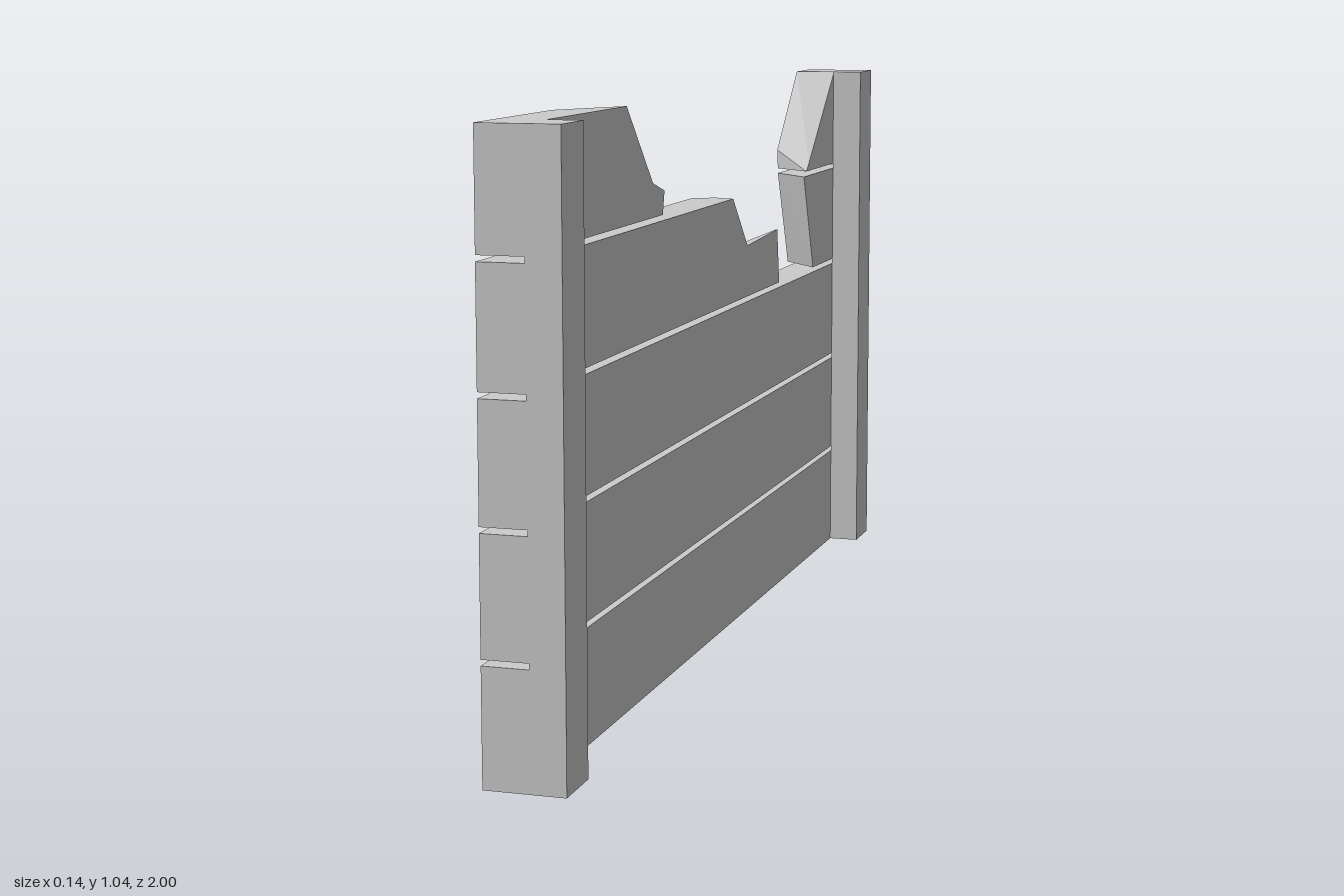
import * as THREE from 'three';

const BACK = -0.07, FACE = 0.01, FRONT = 0.07;

// Joins cross-sections, ordered from back (-x) to front (+x).
// Each section lists [z, y] or [z, y, x] corners; x defaults to the section's own.
function loft(sections, xs) {
  const rings = sections.map((s, k) => s.map(([z, y, x = xs[k]]) => new THREE.Vector3(x, y, z)));
  const last = rings[rings.length - 1];
  const n = last.length;
  let area = 0;
  last.forEach((p, i) => {
    const q = last[(i + 1) % n];
    area += p.y * q.z - q.y * p.z;
  });
  if (area < 0) rings.forEach((r) => r.reverse());
  const tris = [];
  for (let k = 0; k < rings.length - 1; k++) {
    for (let i = 0; i < n; i++) {
      const j = (i + 1) % n;
      const a = rings[k][i], b = rings[k][j], c = rings[k + 1][j], d = rings[k + 1][i];
      tris.push(a, b, c, a, c, d);
    }
  }
  // end caps fan out from the square outer corner of the plank
  const f = area < 0 ? n - 1 : 0;
  for (let i = 1; i < n - 1; i++) {
    const p = (f + i) % n, q = (f + i + 1) % n;
    tris.push(last[f], last[p], last[q]);
    tris.push(rings[0][f], rings[0][q], rings[0][p]);
  }
  const g = new THREE.BufferGeometry().setFromPoints(tris);
  g.computeVertexNormals();
  return g;
}

export function createModel() {
  const group = new THREE.Group();
  const mat = new THREE.MeshStandardMaterial({ color: 0xcccccc, flatShading: true });
  const add = (name, geo, x = 0, y = 0, z = 0) => {
    const m = new THREE.Mesh(geo, mat);
    m.name = name;
    m.position.set(x, y, z);
    group.add(m);
  };

  // Upright posts at both ends
  for (const s of [1, -1]) {
    add(s > 0 ? 'frontPost' : 'rearPost',
      new THREE.BoxGeometry(FRONT - FACE, 1.04, 0.1), (FRONT + FACE) / 2, 0.52, s * 0.95);
  }

  // Three whole planks with narrow gaps between them
  for (let i = 0; i < 3; i++) {
    add('plank' + (i + 1), new THREE.BoxGeometry(FACE - BACK, 0.2, 2), (FACE + BACK) / 2, 0.1 + i * 0.21, 0);
  }

  // Fourth plank: long broken piece with a ridge across the break
  add('brokenPlankLong', loft([
    [[1, 0.63], [1, 0.83], [-0.11, 0.83], [-0.19, 0.72], [-0.25, 0.63]],
    [[1, 0.63], [1, 0.83], [-0.135, 0.83], [-0.225, 0.73, -0.012], [-0.3, 0.63, -0.003]],
    [[1, 0.63], [1, 0.83], [-0.12, 0.83], [-0.22, 0.73], [-0.285, 0.63]],
  ], [BACK, -0.03, FACE]));

  // Thin splinter left on the face of the fourth plank
  add('splinter', loft([
    [[-0.285, 0.63, -0.003], [-0.22, 0.73, -0.012], [-0.44, 0.74, 0.007], [-0.455, 0.63, 0.007]],
    [[-0.285, 0.63], [-0.22, 0.73], [-0.44, 0.74], [-0.455, 0.63]],
  ], [0, FACE]));

  // Fourth plank: stub at the rear post
  add('brokenPlankStub', loft([
    [[-1, 0.63], [-1, 0.83], [-0.735, 0.83], [-0.82, 0.63]],
    [[-1, 0.63], [-1, 0.83], [-0.65, 0.83], [-0.73, 0.63]],
  ], [BACK, FACE]));

  // Top plank: broken piece at the front post
  add('topPlankLong', loft([
    [[1, 0.84], [1, 1.04], [0.655, 1.04], [0.515, 0.9], [0.305, 0.845], [0.3, 0.84]],
    [[1, 0.84], [1, 1.04], [0.515, 1.04], [0.375, 0.9], [0.31, 0.882], [0.32, 0.84]],
  ], [BACK, FACE]));

  // Top plank: stub at the rear post
  add('topPlankStub', loft([
    [[-1, 0.84], [-1, 1.04], [-0.89, 1.04], [-0.73, 0.88], [-0.735, 0.84]],
    [[-1, 0.84], [-1, 1.04], [-0.905, 1.04], [-0.69, 0.855], [-0.67, 0.84]],
  ], [BACK, FACE]));

  return group;
}
